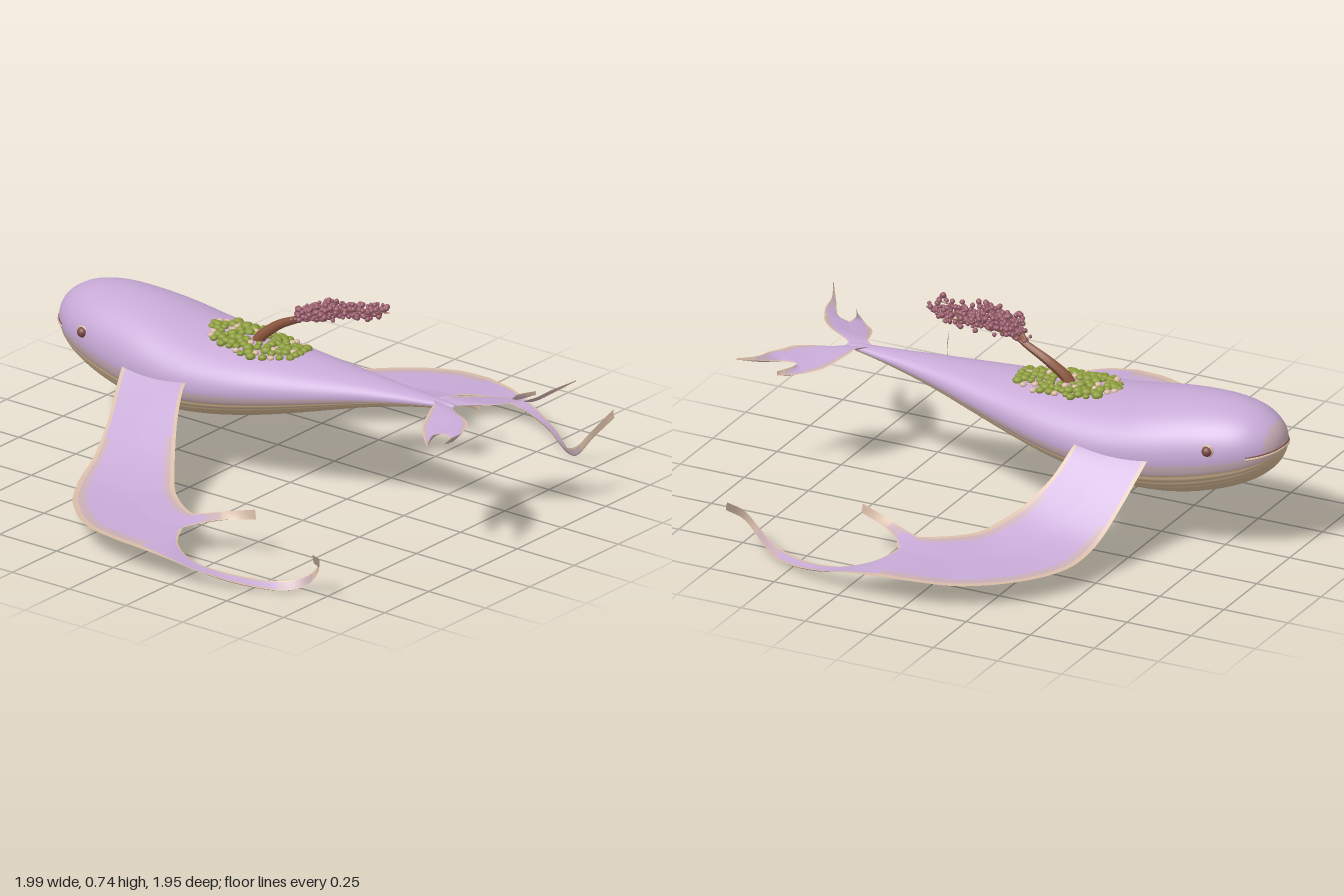
import * as THREE from 'three';
import { mergeGeometries, mergeVertices } from 'three/addons/utils/BufferGeometryUtils.js';

const paint = (name, color) => Object.assign(new THREE.MeshStandardMaterial({ color }), { name });
const M = {
  skin: paint('lilac skin', 0xc6a9d5),
  blend: paint('mauve flank and underside', 0xc8adb6),
  belly: paint('tan belly', 0xd2b693),
  rim: paint('pale fin rim', 0xd6bba6),
  bark: paint('bark', 0x8c553c),
  blossom: paint('maroon blossom', 0x9a5d6c),
  moss: paint('moss green', 0x8b9a38),
  petal: paint('pale petals', 0xd8b8a4),
  eye: paint('brown eye', 0x7d4a45),
};

let seed = 7;
const rnd = () => (seed = (seed * 16807) % 2147483647) / 2147483647;
const spread = (r) => (rnd() * 2 - 1) * r;
const curve = (pts) => new THREE.CatmullRomCurve3(pts.map((p) => new THREE.Vector3(...p)), false, 'catmullrom');
const mesh = (name, geo, mat) => Object.assign(new THREE.Mesh(geo, mat), { name });

// Body stations: z, top, bottom, half width
const STATIONS = [
  [-0.98, 0.425, 0.425, 0], [-0.968, 0.47, 0.375, 0.055], [-0.935, 0.508, 0.328, 0.105], [-0.87, 0.542, 0.28, 0.153],
  [-0.775, 0.559, 0.237, 0.188], [-0.66, 0.558, 0.204, 0.213], [-0.53, 0.544, 0.188, 0.234], [-0.39, 0.52, 0.194, 0.241],
  [-0.25, 0.506, 0.213, 0.231], [-0.1, 0.499, 0.245, 0.206], [0.05, 0.493, 0.285, 0.168], [0.2, 0.489, 0.33, 0.128],
  [0.35, 0.485, 0.375, 0.088], [0.5, 0.479, 0.413, 0.054], [0.62, 0.475, 0.438, 0.032], [0.71, 0.472, 0.452, 0.014],
  [0.73, 0.462, 0.462, 0],
];

function buildBody() {
  const heights = curve(STATIONS.map(([z, t, b]) => [z, t, b]));
  const widths = curve(STATIONS.map(([z, , , w]) => [z, w, 0]));
  const rows = 80, seg = 160, pos = [];
  const faces = { skin: [], blend: [], belly: [] };
  for (let i = 0; i <= rows; i++) {
    const { x: z, y: top, z: bot } = heights.getPoint(i / rows);
    const w = widths.getPoint(i / rows).y;
    for (let j = 0; j < seg; j++) {
      const a = (j / seg) * Math.PI * 2;
      // pleated throat and belly
      const k = -Math.sin(a) > 0.33 ? 1 + 0.009 * Math.cos((j * Math.PI) / 2) * Math.min(1, i / 12) : 1;
      pos.push(w * k * Math.cos(a), (top + bot) / 2 + ((top - bot) / 2) * k * Math.sin(a), z);
    }
  }
  for (let i = 0; i < rows; i++) for (let j = 0; j < seg; j++) {
    const dip = -Math.sin(((j + 0.5) / seg) * Math.PI * 2);
    const kind = dip > 0.33 ? 'belly' : dip > 0.1 || i < 9 ? 'blend' : 'skin';
    const a = i * seg + j, b = i * seg + ((j + 1) % seg), c = a + seg, d = b + seg;
    faces[kind].push(a, b, c, b, d, c);
  }
  const geo = new THREE.BufferGeometry();
  geo.setAttribute('position', new THREE.Float32BufferAttribute(pos, 3));
  geo.setIndex([...faces.skin, ...faces.blend, ...faces.belly]);
  let start = 0;
  Object.values(faces).forEach((f, m) => { geo.addGroup(start, f.length, m); start += f.length; });
  geo.computeVertexNormals();
  return mesh('body', geo, [M.skin, M.blend, M.belly]);
}

// Thickness across a sheet: zero on its free edges and at its ends
const THICKNESS = {
  a: (t, u) => Math.sin((u * Math.PI) / 2) * (1 - t ** 4),
  b: (t, u) => Math.cos((u * Math.PI) / 2) * (1 - t ** 4),
  ab: (t, u) => Math.sin(u * Math.PI) * Math.sin(t * Math.PI),
};

// A forked fin: each sheet is lofted between two rails, pale along its free edges
function buildFin(name, sheets, side) {
  const us = [0, 0.1, 0.24, 0.5, 0.76, 0.9, 1], last = us.length - 2, steps = 32;
  const group = new THREE.Group();
  group.name = name;
  for (const below of [false, true]) {
    const zones = [[], [], []]; // inner, mauve band, rim
    for (const { a, b, edges, tip } of sheets) {
      const ca = curve(a), cb = curve(b);
      const at = (t, u) => {
        const p = ca.getPoint(t).lerp(cb.getPoint(t), u);
        return [p.x * side, p.y - (below ? 0.014 * THICKNESS[edges](t, u) : 0), p.z];
      };
      for (let i = 0; i < steps; i++) for (let k = 0; k <= last; k++) {
        const t0 = i / steps, t1 = (i + 1) / steps;
        const p = at(t0, us[k]), q = at(t0, us[k + 1]), r = at(t1, us[k]), s = at(t1, us[k + 1]);
        const fromEdge = Math.min(edges.includes('a') ? k : 9, edges.includes('b') ? last - k : 9);
        const zone = t0 >= tip || fromEdge === 0 ? 2 : t0 >= tip - 0.2 || (fromEdge === 1 && t0 > 0.3) ? 1 : 0;
        const flip = below === (side > 0);
        zones[zone].push(...(flip ? [p, r, q, q, r, s] : [p, q, r, q, s, r]).flat());
      }
    }
    const raw = new THREE.BufferGeometry();
    raw.setAttribute('position', new THREE.Float32BufferAttribute(zones.flat(), 3));
    const geo = mergeVertices(raw, 1e-5);
    let start = 0;
    zones.forEach((z, m) => { geo.addGroup(start, z.length / 3, m); start += z.length / 3; });
    geo.computeVertexNormals();
    group.add(mesh(below ? 'finUnderside' : 'finTop', geo, [below ? M.blend : M.skin, M.blend, M.rim]));
  }
  return group;
}

const flipperMid = [[0.2, 0.395, -0.42], [0.26, 0.345, -0.41], [0.35, 0.25, -0.38], [0.46, 0.16, -0.33], [0.57, 0.115, -0.27],
  [0.66, 0.1, -0.19], [0.74, 0.1, -0.08], [0.775, 0.105, 0.03], [0.775, 0.11, 0.13]];
const FLIPPER = [
  { edges: 'a', tip: 2, b: flipperMid, a: [[0.2, 0.4, -0.57], [0.27, 0.325, -0.55], [0.36, 0.225, -0.52], [0.48, 0.13, -0.49],
    [0.62, 0.09, -0.45], [0.78, 0.085, -0.35], [0.92, 0.09, -0.19], [0.98, 0.1, -0.03], [0.995, 0.1, 0.1]] },
  { edges: 'b', tip: 2, a: flipperMid, b: [[0.2, 0.39, -0.28], [0.25, 0.365, -0.275], [0.33, 0.28, -0.24], [0.42, 0.2, -0.18],
    [0.5, 0.155, -0.12], [0.56, 0.13, -0.07], [0.62, 0.125, 0], [0.66, 0.125, 0.06], [0.68, 0.125, 0.1]] },
  { edges: 'ab', tip: 0.75,
    a: [[0.995, 0.1, 0.1], [0.985, 0.085, 0.22], [0.955, 0.055, 0.34], [0.9, 0.025, 0.47], [0.82, 0.003, 0.59],
      [0.765, 0.025, 0.67], [0.775, 0.1, 0.73], [0.85, 0.16, 0.765]],
    b: [[0.775, 0.11, 0.13], [0.865, 0.09, 0.18], [0.91, 0.065, 0.29], [0.875, 0.042, 0.44], [0.795, 0.028, 0.58],
      [0.755, 0.06, 0.67], [0.77, 0.13, 0.73], [0.85, 0.19, 0.76]] },
  { edges: 'ab', tip: 0.6, a: [[0.775, 0.11, 0.13], [0.72, 0.12, 0.17], [0.675, 0.135, 0.24], [0.635, 0.15, 0.345]],
    b: [[0.68, 0.125, 0.1], [0.675, 0.135, 0.14], [0.655, 0.155, 0.22], [0.635, 0.185, 0.34]] },
];
const flukeMid = [[0, 0.47, 0.66], [0.03, 0.47, 0.7], [0.08, 0.465, 0.75], [0.14, 0.455, 0.79], [0.2, 0.45, 0.82]];
const FLUKE = [
  { edges: 'a', tip: 2, b: flukeMid, a: [[0, 0.47, 0.62], [0.04, 0.475, 0.665], [0.085, 0.465, 0.68], [0.18, 0.445, 0.72], [0.235, 0.435, 0.77]] },
  { edges: 'b', tip: 2, a: flukeMid, b: [[0, 0.465, 0.71], [0.04, 0.465, 0.76], [0.08, 0.47, 0.83], [0.12, 0.475, 0.875], [0.165, 0.475, 0.9]] },
  { edges: 'ab', tip: 0.7, a: [[0.235, 0.435, 0.77], [0.275, 0.435, 0.81], [0.305, 0.44, 0.845]],
    b: [[0.2, 0.45, 0.82], [0.24, 0.455, 0.815], [0.305, 0.455, 0.845]] },
  { edges: 'ab', tip: 0.7, a: [[0.2, 0.45, 0.82], [0.222, 0.455, 0.875], [0.29, 0.475, 0.918], [0.37, 0.5, 0.968]],
    b: [[0.165, 0.475, 0.9], [0.215, 0.48, 0.92], [0.285, 0.488, 0.932], [0.37, 0.505, 0.97]] },
];

// Tube that narrows from r0 to r1
function taperedTube(path, r0, r1, sides = 7, n = 14) {
  const geo = new THREE.TubeGeometry(path, n, r0, sides), p = geo.attributes.position, v = new THREE.Vector3();
  for (let i = 0; i < p.count; i++) {
    const t = Math.floor(i / (sides + 1)) / n, c = path.getPointAt(t);
    v.fromBufferAttribute(p, i).sub(c).multiplyScalar(1 + (r1 / r0 - 1) * t).add(c);
    p.setXYZ(i, v.x, v.y, v.z);
  }
  geo.computeVertexNormals();
  return geo;
}

function buildTree() {
  const tree = new THREE.Group();
  tree.name = 'tree';
  const trunk = curve([[0, 0.48, -0.15], [0.005, 0.52, -0.125], [0.018, 0.572, -0.06], [0.015, 0.612, 0.02], [0.005, 0.65, 0.09]]);
  const wood = [taperedTube(trunk, 0.023, 0.01)], flowers = [];
  // leaning branches, each carrying blossom along its outer length
  const ends = [[-0.045, 0.68, 0.12], [0.045, 0.69, 0.15], [-0.03, 0.705, 0.22], [0.04, 0.7, 0.27], [0.1, 0.69, 0.31],
    [0.03, 0.715, 0.35], [0.075, 0.705, 0.38], [-0.02, 0.67, 0.17]];
  ends.forEach((end, n) => {
    const s = trunk.getPointAt(0.68 + 0.04 * n);
    const path = curve([s.toArray(), [s.x * 0.5 + end[0] * 0.5, (s.y + end[1]) / 2 + 0.012, (s.z + end[2]) / 2], end]);
    wood.push(taperedTube(path, 0.007, 0.002, 5, 8));
    for (let i = 0; i < 55; i++) {
      const c = path.getPoint(0.3 + 0.7 * rnd());
      flowers.push(new THREE.IcosahedronGeometry(0.006 + 0.005 * rnd(), 1)
        .translate(c.x + spread(0.025), c.y + spread(0.02), c.z + spread(0.022)));
    }
  });
  tree.add(mesh('trunkAndBranches', mergeGeometries(wood), M.bark));
  tree.add(mesh('blossom', mergeGeometries(flowers), M.blossom));
  return tree;
}

// Round moss tufts and pale petals following the curve of the back
function buildGarden() {
  const garden = new THREE.Group(), tufts = [], petals = [], spots = [];
  garden.name = 'backGarden';
  for (let n = 0; n < 1500 && spots.length < 110; n++) {
    const a = rnd() * Math.PI * 2, r = Math.sqrt(0.08 + 0.92 * rnd());
    const x = 0.112 * r * Math.cos(a), z = -0.145 + 0.205 * r * Math.sin(a);
    if (spots.some((s) => Math.hypot(s[0] - x, s[1] - z) < 0.022)) continue;
    spots.push([x, z]);
    const y = 0.383 + (0.115 - 0.05 * (z + 0.14)) * Math.sqrt(1 - (x / (0.21 - 0.2 * (z + 0.14))) ** 2);
    const pale = spots.length % 5 === 0;
    const ball = new THREE.SphereGeometry(pale ? 0.013 : 0.012 + 0.009 * rnd(), 10, 7).scale(1, 0.75, 1).translate(x, y + 0.005, z);
    (pale ? petals : tufts).push(ball);
  }
  garden.add(mesh('mossTufts', mergeGeometries(tufts), M.moss), mesh('petals', mergeGeometries(petals), M.petal));
  return garden;
}

export function createModel() {
  const model = new THREE.Group();
  model.name = 'gardenWhale';
  model.add(buildBody(), buildTree(), buildGarden());
  // The head points to -z
  for (const side of [1, -1]) {
    const label = side > 0 ? 'left' : 'right';
    model.add(buildFin(label + 'Flipper', FLIPPER, side), buildFin(label + 'Fluke', FLUKE, side));
    const eye = mesh(label + 'Eye', new THREE.SphereGeometry(0.019, 20, 14), M.eye);
    eye.position.set(side * 0.184, 0.43, -0.772);
    const lid = mesh(label + 'Eyelid', new THREE.TorusGeometry(0.019, 0.005, 8, 24).rotateY(Math.PI / 2), M.rim);
    lid.position.set(side * 0.182, 0.43, -0.772);
    model.add(eye, lid);
  }
  // Mouth line and pale lip
  const lips = [[0.137, 0.41, -0.897], [0.105, 0.415, -0.936], [0.056, 0.421, -0.968], [0, 0.425, -0.98]];
  const path = (dy) => curve([...lips, ...lips.slice(0, 3).reverse().map(([x, y, z]) => [-x, y, z])].map(([x, y, z]) => [x, y + dy, z]));
  model.add(mesh('mouthLine', new THREE.TubeGeometry(path(0), 40, 0.0025, 6), M.eye));
  model.add(mesh('lowerLip', new THREE.TubeGeometry(path(-0.007), 40, 0.005, 8), M.rim));
  return model;
}
